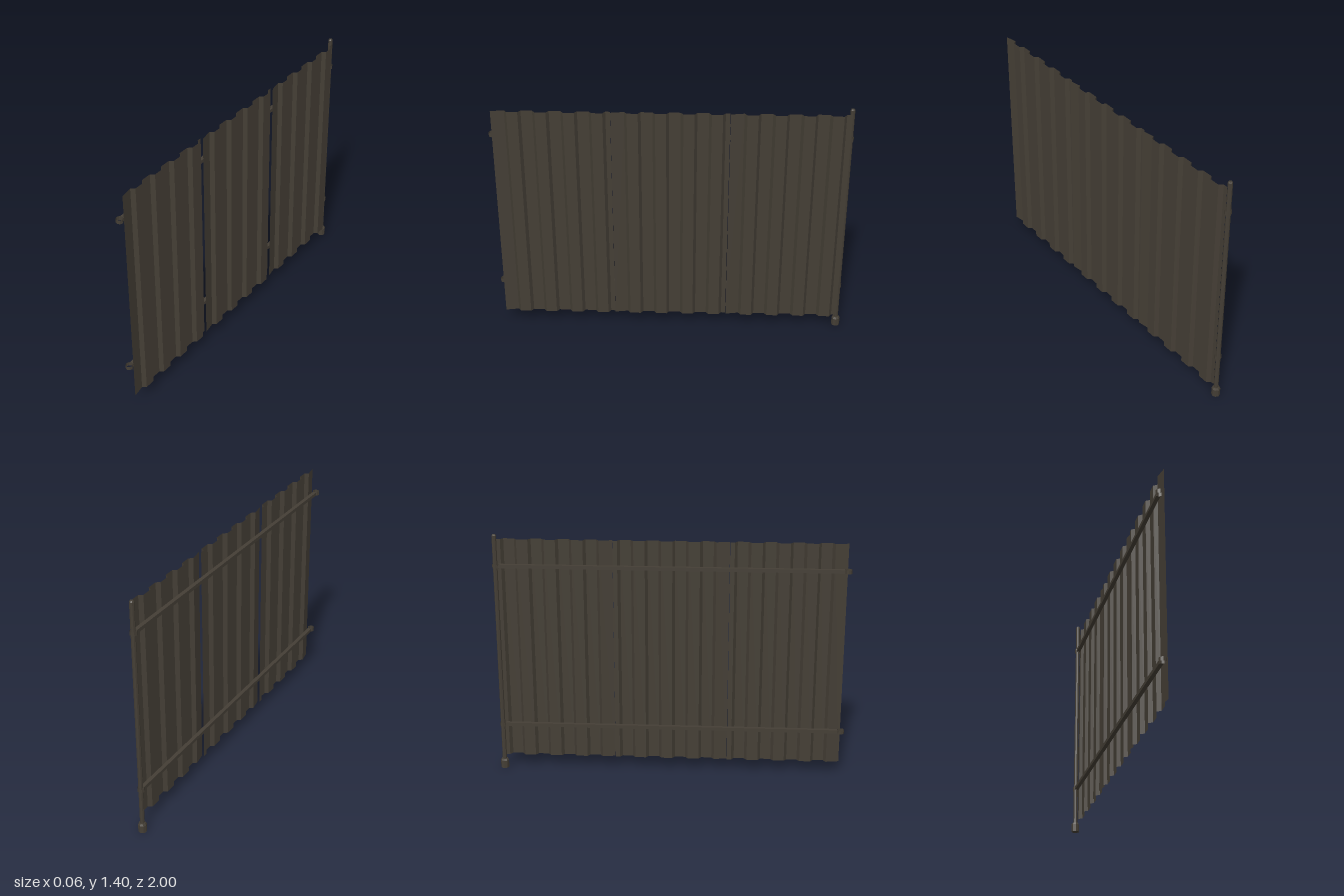
import * as THREE from 'three';

export function createModel() {
  const group = new THREE.Group();
  const metal = new THREE.MeshStandardMaterial({ color: 0x443e35, flatShading: true, side: THREE.DoubleSide });
  metal.name = 'dark brown metal';
  const add = (name, geometry, x, y, z) => {
    const mesh = new THREE.Mesh(geometry, metal);
    mesh.name = name;
    mesh.position.set(x, y, z);
    group.add(mesh);
  };
  const axisX = -0.01;

  // Corrugated sheet profile: [z, x] pairs, four ribs and a raised lap edge
  const profile = [[-0.3, 0.004]];
  for (let i = 0; i < 4; i++) {
    const c = -0.23 + i * 0.153;
    profile.push([c - 0.045, 0.004], [c - 0.03, 0.025], [c + 0.03, 0.025], [c + 0.045, 0.004]);
  }
  profile.push([0.348, 0.017]);

  // Thin sheet raised straight up from the profile
  const sheetGeometry = (bottom, top) => {
    const positions = [];
    const index = [];
    profile.forEach(([z, x], i) => {
      positions.push(x, bottom, z, x, top, z);
      const a = i * 2;
      if (i < profile.length - 1) index.push(a, a + 1, a + 2, a + 1, a + 3, a + 2);
    });
    const g = new THREE.BufferGeometry();
    g.setAttribute('position', new THREE.Float32BufferAttribute(positions, 3));
    g.setIndex(index);
    const flat = g.toNonIndexed();
    flat.computeVertexNormals();
    return flat;
  };
  ['rearSheet', 'middleSheet', 'frontSheet'].forEach((name, i) =>
    add(name, sheetGeometry(0.075, 1.375), 0, 0, -0.67 + i * 0.65));

  // Post with a bevelled top
  const postProfile = [[0, 0.05], [0.013, 0.05], [0.013, 1.398], [0.009, 1.405], [0, 1.405]];
  add('post', new THREE.LatheGeometry(postProfile.map(p => new THREE.Vector2(...p)), 8), axisX, 0, -0.975);

  // Post foot with a narrowed shoulder
  const footProfile = [[0, 0], [0.024, 0], [0.024, 0.045], [0.018, 0.056], [0, 0.056]];
  add('postFoot', new THREE.LatheGeometry(footProfile.map(p => new THREE.Vector2(...p)), 8), axisX, 0, -0.975);

  // Two rails, each with an open collar at both ends
  for (const [label, y] of [['lower', 0.275], ['upper', 1.225]]) {
    add(label + 'Rail', new THREE.BoxGeometry(0.022, 0.02, 1.92), axisX, y, 0.001);
    for (const [end, z] of [['Rear', -0.972], ['Front', 0.98]]) {
      add(label + end + 'Collar', new THREE.CylinderGeometry(0.02, 0.02, 0.022, 8, 1, true), axisX, y, z);
    }
  }
  return group;
}
